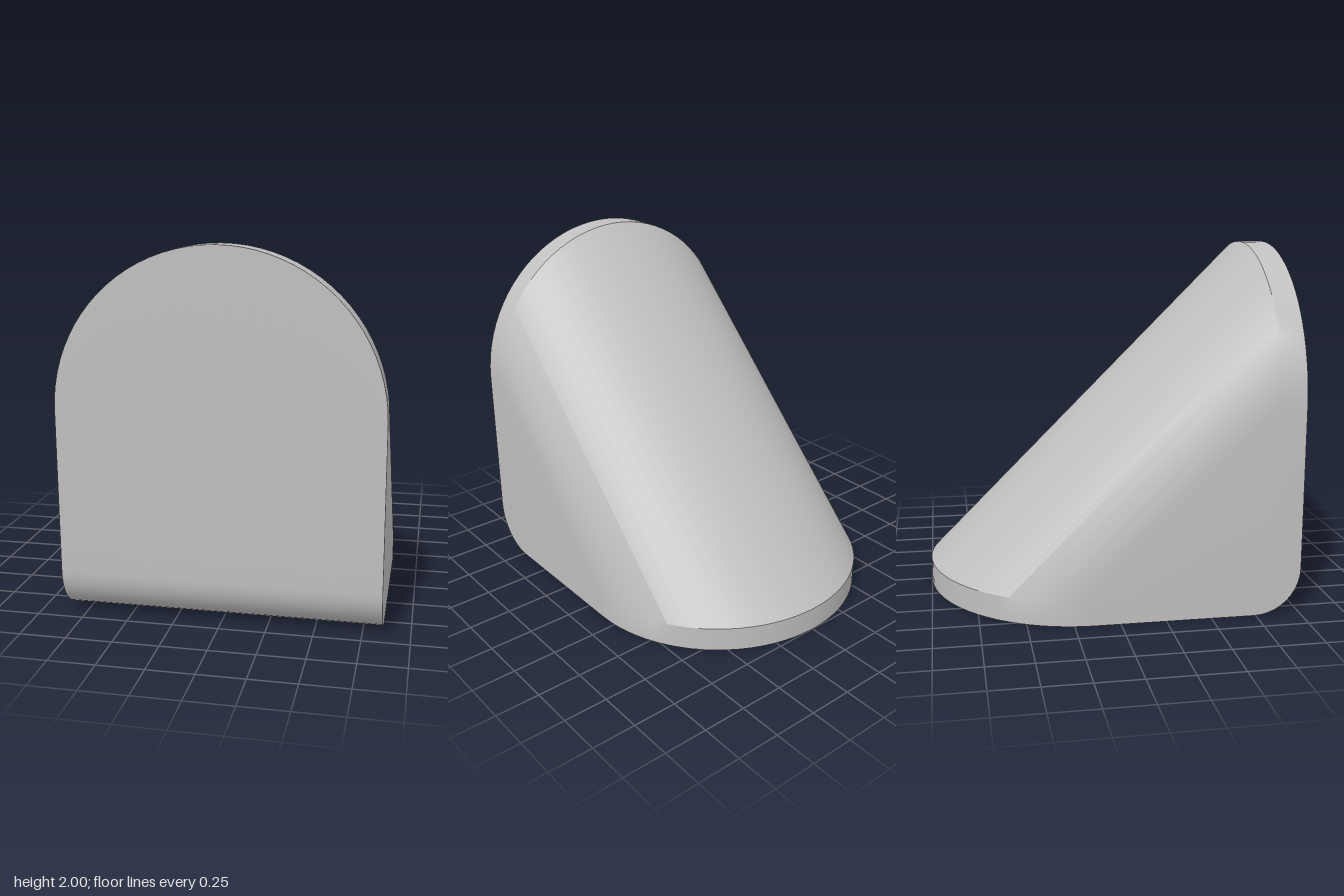
import * as THREE from 'three';
import { toCreasedNormals } from 'three/addons/utils/BufferGeometryUtils.js';

const R = 0.855;      // arch radius and half width
const LIP = 0.14;     // thickness of the rim on the front and base plates
const FILLET = 0.26;  // rounded front bottom edge
const COLUMNS = 40;
const FILLET_STEPS = 10;

// Side profile as [z, y], where s is the height of the arch in this column
function profile(s) {
  const points = [];
  for (let k = 0; k <= FILLET_STEPS; k++) {
    const a = (k / FILLET_STEPS) * Math.PI / 2;
    points.push([1 - FILLET + FILLET * Math.sin(a), FILLET - FILLET * Math.cos(a)]);
  }
  const reach = 2 - R + s;
  points.push([1, reach], [1 - LIP, reach], [1 - reach, LIP], [1 - reach, 0]);
  return points;
}

// Loft the profile across the width and close both flat sides
function wedgeGeometry() {
  const positions = [];
  const index = [];
  const n = profile(0).length;
  for (let i = 0; i <= COLUMNS; i++) {
    const t = (i / COLUMNS - 0.5) * Math.PI;
    const s = Math.max(0, R * Math.cos(t));
    for (const [z, y] of profile(s)) positions.push(R * Math.sin(t), y, z);
  }
  for (let i = 0; i < COLUMNS; i++) {
    for (let j = 0; j < n; j++) {
      const k = (j + 1) % n;
      const a = i * n + j, b = a + n, c = (i + 1) * n + k, d = i * n + k;
      index.push(a, b, c, a, c, d);
    }
  }
  const last = COLUMNS * n;
  for (let j = 1; j < n - 1; j++) {
    index.push(0, j, j + 1);
    index.push(last, last + j + 1, last + j);
  }
  const geometry = new THREE.BufferGeometry();
  geometry.setAttribute('position', new THREE.Float32BufferAttribute(positions, 3));
  geometry.setIndex(index);
  return toCreasedNormals(geometry, 0.5);
}

export function createModel() {
  const grey = new THREE.MeshStandardMaterial({ color: 0xc0c0c0 });
  grey.name = 'light grey';

  const group = new THREE.Group();
  group.name = 'archedWedge';
  const body = new THREE.Mesh(wedgeGeometry(), grey);
  body.name = 'wedgeBody';
  group.add(body);
  return group;
}
